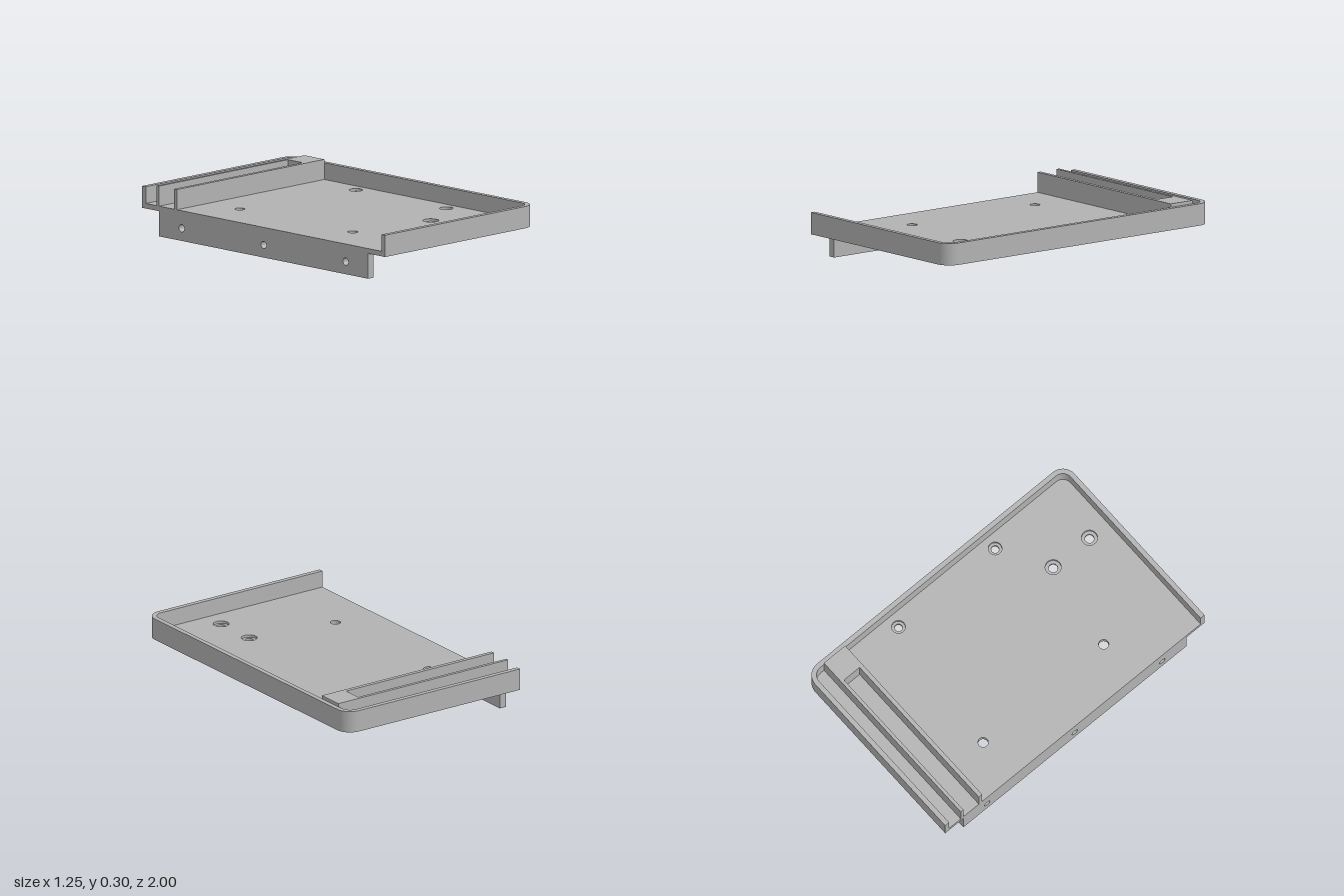
import * as THREE from 'three';
import { toCreasedNormals } from 'three/addons/utils/BufferGeometryUtils.js';

const LEFT = -0.625, RIGHT = 0.625, HALF = 1, WALL = 0.03, RADIUS = 0.09;
const BASE = 0.15, STEP = 0.165, FLOOR = 0.18, RIM = 0.28, RAIL = 0.30;

// [x, z, through radius, counterbore radius]
const HOLES = [
  [-0.35, -0.47, 0.03, 0.03], [-0.35, 0.46, 0.03, 0.03],
  [0.515, -0.375, 0.023, 0.04], [0.515, 0.37, 0.023, 0.04],
  [0.205, 0.55, 0.027, 0.047], [0.205, 0.83, 0.027, 0.047],
];

function circle(x, y, r) {
  return new THREE.Path().absarc(x, y, r, 0, Math.PI * 2, true);
}

// Plate outline: square corners on the left, rounded on the right
function trayOutline() {
  const c = RIGHT - RADIUS, d = HALF - RADIUS;
  return new THREE.Shape()
    .moveTo(LEFT, -HALF).lineTo(c, -HALF)
    .absarc(c, -d, RADIUS, -Math.PI / 2, 0, false)
    .absarc(c, d, RADIUS, 0, Math.PI / 2, false)
    .lineTo(LEFT, HALF);
}

// U-shaped rim, open on the left
function rimOutline() {
  const c = RIGHT - RADIUS, d = HALF - RADIUS, r = RADIUS - WALL;
  return trayOutline()
    .lineTo(LEFT, HALF - WALL).lineTo(c, HALF - WALL)
    .absarc(c, d, r, Math.PI / 2, 0, true)
    .absarc(c, -d, r, 0, -Math.PI / 2, true)
    .lineTo(LEFT, -HALF + WALL);
}

function extrude(shape, depth) {
  return new THREE.ExtrudeGeometry(shape, { depth, bevelEnabled: false, curveSegments: 14 });
}

// Extrude an x/z outline between two heights
function slab(shape, bottom, top) {
  return extrude(shape, top - bottom).rotateX(Math.PI / 2).translate(0, top, 0);
}

export function createModel() {
  const model = new THREE.Group();
  model.name = 'mountingTray';
  const grey = new THREE.MeshStandardMaterial({ color: 0xb2b2b2 });
  grey.name = 'grey';

  const add = (name, geometry) => {
    const mesh = new THREE.Mesh(toCreasedNormals(geometry, 0.6), grey);
    mesh.name = name;
    model.add(mesh);
  };

  // Floor in two layers, so that the screw holes are counterbored
  const lower = trayOutline(), upper = trayOutline();
  for (const [x, z, through, bore] of HOLES) {
    lower.holes.push(circle(x, z, through));
    upper.holes.push(circle(x, z, bore));
  }
  add('floorLower', slab(lower, BASE, STEP));
  add('floorUpper', slab(upper, STEP, FLOOR));
  add('rim', slab(rimOutline(), FLOOR, RIM));

  // Raised block with a long slot open to the left
  const block = new THREE.Shape([
    [LEFT, -0.88], [0.597, -0.88], [0.597, -0.715], [LEFT, -0.715],
    [LEFT, -0.74], [0.44, -0.74], [0.44, -0.86], [LEFT, -0.86],
  ].map(([x, z]) => new THREE.Vector2(x, z)));
  add('slottedRail', slab(block, FLOOR, RAIL));

  // Hanging flange with three screw holes
  const flange = new THREE.Shape()
    .moveTo(-0.86, 0).lineTo(0.86, 0).lineTo(0.86, BASE).lineTo(-0.86, BASE);
  for (const z of [-0.675, 0, 0.675]) flange.holes.push(circle(z, 0.075, 0.022));
  add('flange', extrude(flange, 0.045).rotateY(-Math.PI / 2).translate(-0.58, 0, 0));

  return model;
}
